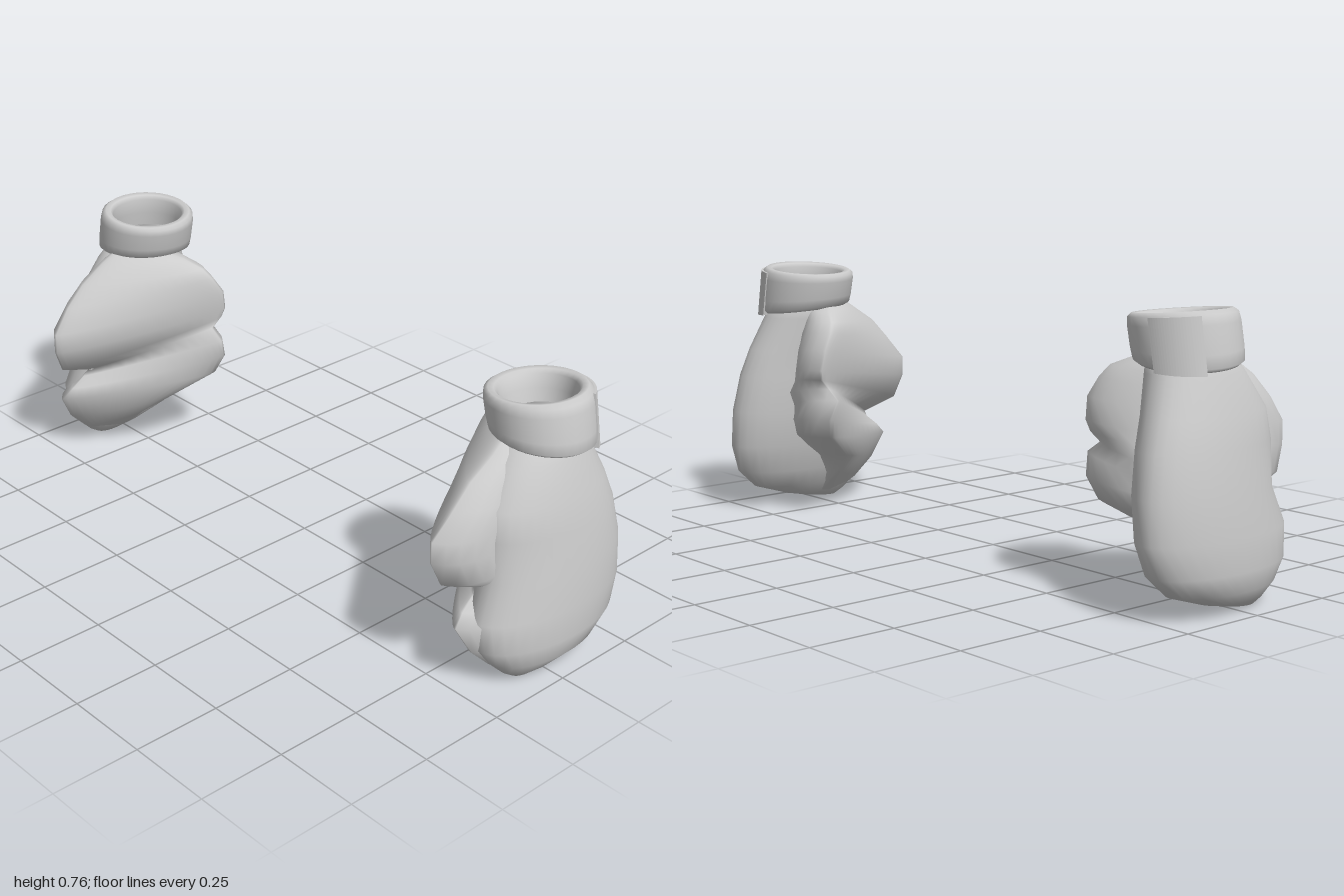
import * as THREE from 'three';
import { mergeVertices } from 'three/addons/utils/BufferGeometryUtils.js';

const SEG = 32;

// Loft through oval rings. Each row holds the front end and back end of the oval
// (x, y, z each), then its half width on the inner side and on the outer side.
function loft(rows, capped = true) {
  const pos = [], idx = [];
  const up = new THREE.Vector3(0, 1, 0);
  for (const [fx, fy, fz, bx, by, bz, wIn, wOut] of rows) {
    const front = new THREE.Vector3(fx, fy, fz), back = new THREE.Vector3(bx, by, bz);
    const mid = front.clone().add(back).multiplyScalar(0.5);
    const half = front.clone().sub(mid);
    const side = up.clone().cross(half).normalize();
    for (let j = 0; j < SEG; j++) {
      const t = (j / SEG) * Math.PI * 2, s = Math.sin(t);
      const p = mid.clone().addScaledVector(half, Math.cos(t))
        .addScaledVector(side, s * (s > 0 ? wOut : wIn));
      pos.push(p.x, p.y, p.z);
    }
  }
  for (let i = 0; i < rows.length - 1; i++) {
    for (let j = 0; j < SEG; j++) {
      const k = (j + 1) % SEG;
      const a = i * SEG + j, b = i * SEG + k, c = b + SEG, d = a + SEG;
      idx.push(a, b, c, a, c, d);
    }
  }
  if (capped) {
    [0, rows.length - 1].forEach((r, end) => {
      const [fx, fy, fz, bx, by, bz] = rows[r];
      const centre = pos.length / 3;
      pos.push((fx + bx) / 2, (fy + by) / 2, (fz + bz) / 2);
      for (let j = 0; j < SEG; j++) {
        const a = r * SEG + j, b = r * SEG + ((j + 1) % SEG);
        if (end) idx.push(centre, a, b);
        else idx.push(centre, b, a);
      }
    });
  }
  const g = new THREE.BufferGeometry();
  g.setAttribute('position', new THREE.Float32BufferAttribute(pos, 3));
  g.setIndex(idx);
  g.computeVertexNormals();
  return g;
}

// Lean the cuff inward and raise the outer side of its rim
function lean(g) {
  const p = g.attributes.position;
  for (let i = 0; i < p.count; i++) {
    const x = p.getX(i), y = p.getY(i), z = p.getZ(i);
    const h = (y - 0.625) / 0.125;
    p.setX(i, x - 0.025 * h + 0.01);
    p.setY(i, y + (x - 0.81) * (0.16 * h - 0.07) + (z + 0.07) * 0.07 * (1 - h));
  }
  g.computeVertexNormals();
  return g;
}

// Main hand: tall padded pouch
const hand = () => loft([
  [0.90, 0.00, 0.09, 0.90, 0.010, -0.03, 0.03, 0.03],
  [0.895, 0.02, 0.12, 0.90, 0.025, -0.10, 0.05, 0.055],
  [0.89, 0.06, 0.16, 0.90, 0.060, -0.21, 0.08, 0.09],
  [0.88, 0.115, 0.20, 0.895, 0.115, -0.27, 0.10, 0.11],
  [0.87, 0.20, 0.21, 0.89, 0.200, -0.296, 0.12, 0.115],
  [0.86, 0.30, 0.165, 0.885, 0.310, -0.292, 0.13, 0.115],
  [0.85, 0.42, 0.17, 0.875, 0.420, -0.27, 0.13, 0.11],
  [0.84, 0.50, 0.16, 0.865, 0.500, -0.24, 0.13, 0.105],
  [0.82, 0.60, 0.09, 0.84, 0.600, -0.195, 0.12, 0.10],
  [0.81, 0.66, 0.03, 0.82, 0.660, -0.17, 0.10, 0.09],
]);

// Folded fingers below and thumb above, joined by a slanting crease
const fingersAndThumb = () => loft([
  [0.89, 0.01, 0.09, 0.84, 0.03, 0.00, 0.01, 0.03],
  [0.88, 0.05, 0.15, 0.76, 0.10, 0.00, 0.025, 0.07],
  [0.87, 0.11, 0.21, 0.67, 0.17, -0.03, 0.03, 0.13],
  [0.85, 0.19, 0.253, 0.585, 0.25, -0.15, 0.03, 0.18],
  [0.84, 0.22, 0.22, 0.56, 0.31, -0.17, 0.025, 0.18],
  [0.835, 0.25, 0.18, 0.545, 0.37, -0.15, 0.01, 0.18],
  [0.83, 0.27, 0.165, 0.59, 0.40, -0.15, 0.015, 0.18],
  [0.81, 0.31, 0.27, 0.585, 0.43, -0.18, 0.025, 0.18],
  [0.80, 0.38, 0.298, 0.578, 0.46, -0.19, 0.03, 0.18],
  [0.80, 0.44, 0.298, 0.573, 0.52, -0.18, 0.03, 0.18],
  [0.81, 0.51, 0.24, 0.585, 0.57, -0.15, 0.03, 0.16],
  [0.81, 0.57, 0.18, 0.605, 0.60, -0.13, 0.03, 0.13],
  [0.81, 0.62, 0.10, 0.66, 0.625, -0.10, 0.03, 0.09],
  [0.80, 0.65, 0.05, 0.72, 0.645, -0.06, 0.02, 0.03],
]);

// Cuff: hollow padded ring, profile of radius and height closed on itself
const cuff = () => {
  const profile = [[0.101, 0.635], [0.109, 0.626], [0.128, 0.623], [0.139, 0.632], [0.141, 0.66],
    [0.141, 0.72], [0.138, 0.741], [0.128, 0.75], [0.115, 0.748], [0.107, 0.738], [0.102, 0.70], [0.101, 0.635]];
  return lean(loft(profile.map(([r, y]) => {
    const w = r - (0.141 - r) * 0.25;
    return [0.81, y, -0.07 + r, 0.81, y, -0.07 - r, w, w];
  }), false));
};

// Strap end overlapping the cuff on its outer back
const strap = () => {
  const s = new THREE.Shape();
  const a = 0.5, b = 1.45;
  s.absarc(0, 0, 0.144, a, b, false);
  s.absarc(0, 0, 0.125, b, a, true);
  const g = new THREE.ExtrudeGeometry(s, { depth: 0.12, bevelEnabled: false, curveSegments: 10 });
  g.rotateX(-Math.PI / 2).translate(0.81, 0.62, -0.07);
  return lean(g);
};

// Mirror a geometry across x, keeping faces outward
function mirror(geo) {
  const g = mergeVertices(geo);
  g.scale(-1, 1, 1);
  g.index.array.reverse();
  return g;
}

export function createModel() {
  const padding = new THREE.MeshStandardMaterial({ color: 0xcccccc });
  padding.name = 'light grey';
  const parts = { hand, fingersAndThumb, cuff, strap };
  const model = new THREE.Group();
  model.name = 'paddedGloves';
  for (const side of ['left', 'right']) {
    const glove = new THREE.Group();
    glove.name = side + 'Glove';
    for (const [name, build] of Object.entries(parts)) {
      const geo = build();
      const mesh = new THREE.Mesh(side === 'left' ? geo : mirror(geo), padding);
      mesh.name = name;
      glove.add(mesh);
    }
    model.add(glove);
  }
  return model;
}
